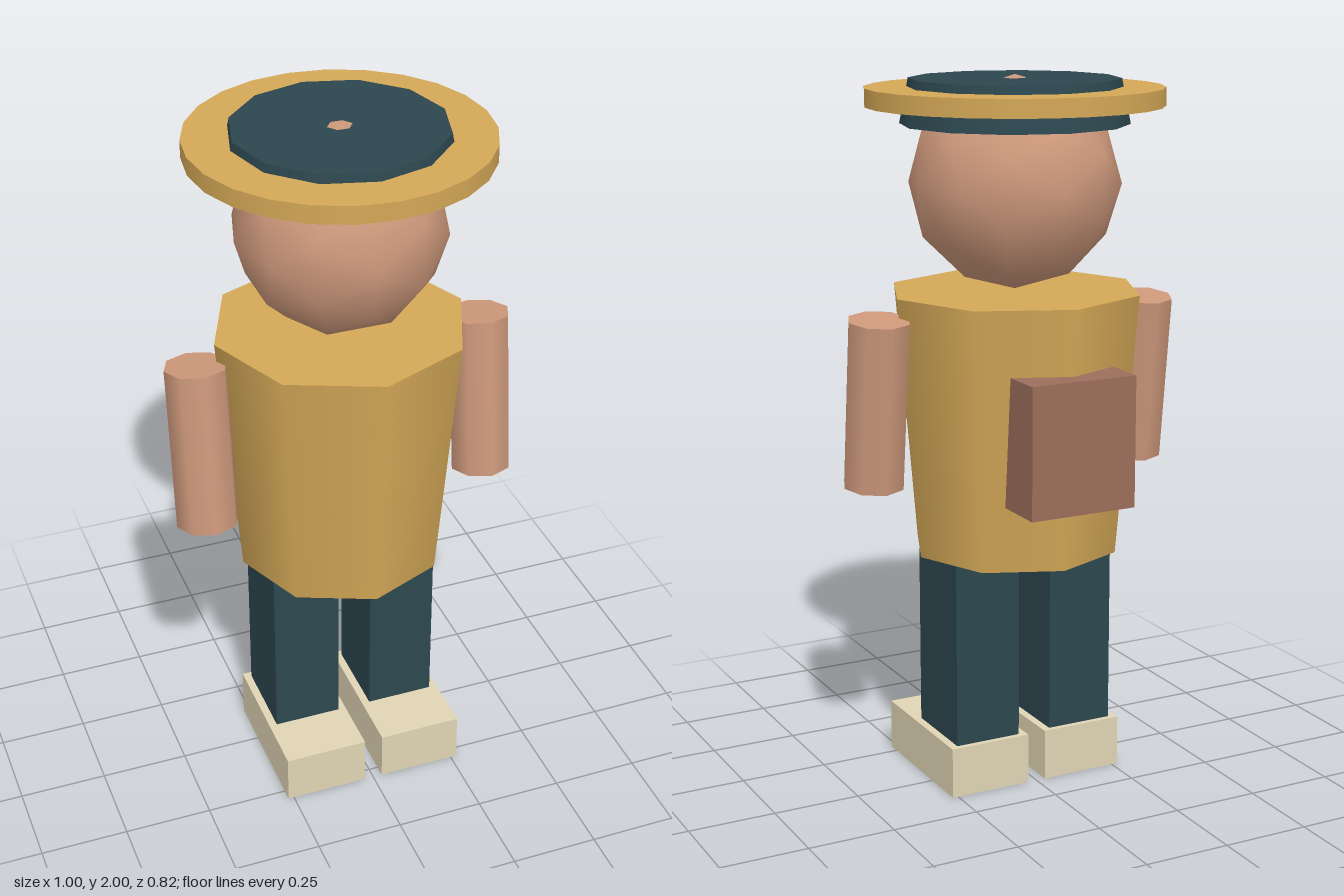
import * as THREE from 'three';

const SKIN = 0xcd987b, OCHRE = 0xd4a857, TEAL = 0x2c474e, CREAM = 0xe0d4b4, BROWN = 0x9c6e5b;

export function createModel() {
  const model = new THREE.Group();

  const add = (name, geometry, color, x, y, z) => {
    const mesh = new THREE.Mesh(geometry, new THREE.MeshStandardMaterial({ color }));
    mesh.name = name;
    mesh.position.set(x, y, z);
    model.add(mesh);
    return mesh;
  };
  // Box and tapered cylinder given by their lower and upper heights
  const box = (name, color, x, z, y0, y1, w, d) =>
    add(name, new THREE.BoxGeometry(w, y1 - y0, d), color, x, (y0 + y1) / 2, z);
  const drum = (name, color, y0, y1, rTop, rBottom, sides) =>
    add(name, new THREE.CylinderGeometry(rTop, rBottom, y1 - y0, sides), color, 0, (y0 + y1) / 2, 0);

  // Torso and head
  drum('torso', OCHRE, 0.677, 1.412, 0.357, 0.295, 8);
  add('head', new THREE.IcosahedronGeometry(0.293, 1), SKIN, 0, 1.707, 0);

  // Hat: crown with a flat brim around it
  drum('hatCrown', TEAL, 1.867, 1.99, 0.29, 0.315, 12);
  drum('hatBrim', OCHRE, 1.917, 1.967, 0.41, 0.41, 24);

  // Backpack, sunk into the back of the torso
  box('backpack', BROWN, 0, -0.3, 0.864, 1.229, 0.313, 0.2);

  // Limbs, mirrored left and right
  for (const [side, s] of [['left', 1], ['right', -1]]) {
    const arm = add(side + 'Arm', new THREE.CylinderGeometry(0.088, 0.088, 0.475, 8), SKIN, s * 0.411, 1.124, 0.027);
    arm.rotation.x = -0.115;
    box(side + 'Leg', TEAL, s * 0.147, 0, 0.14, 0.7, 0.195, 0.24);
    box(side + 'Shoe', CREAM, s * 0.147, 0.074, 0, 0.146, 0.24, 0.42);
  }
  return model;
}
